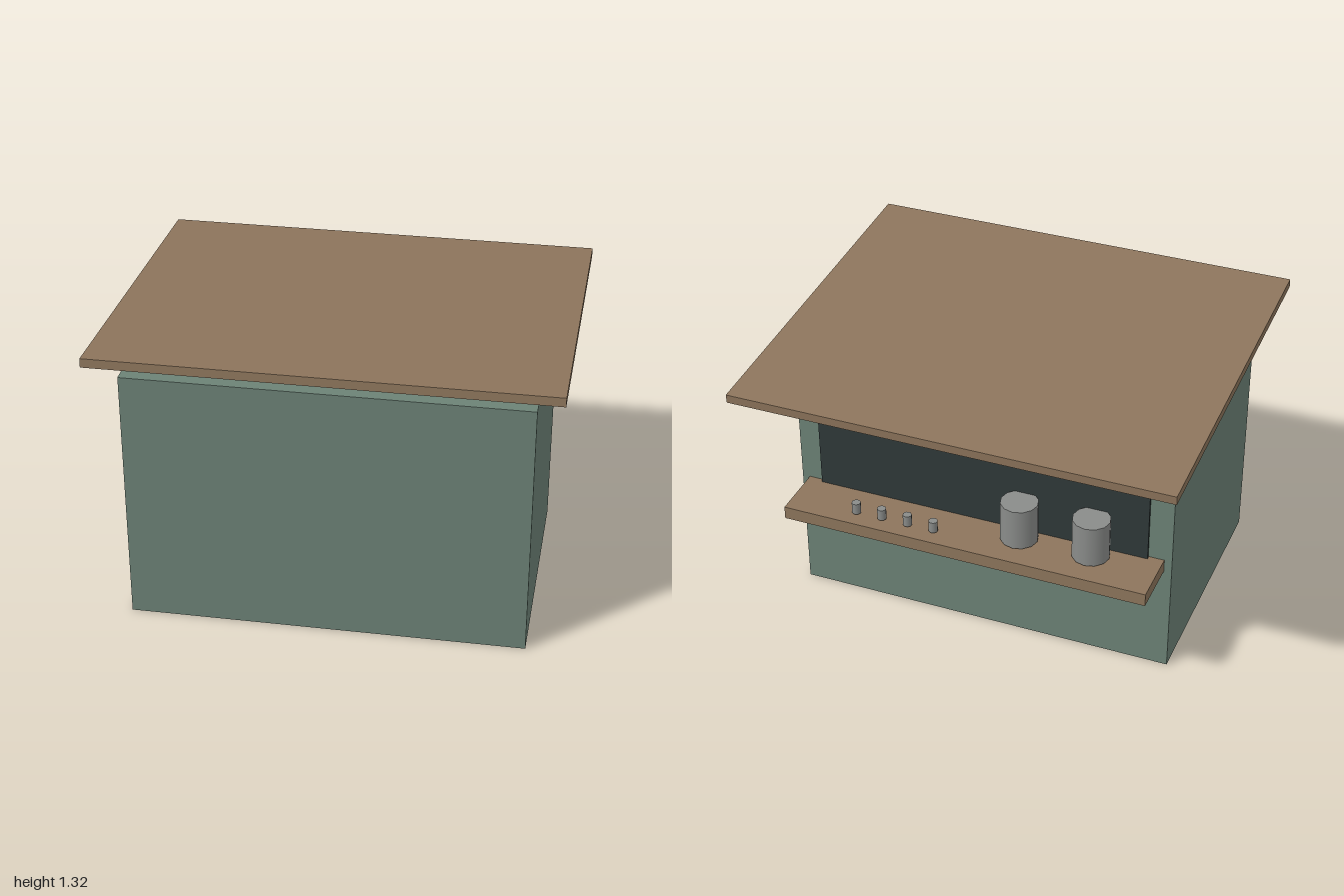
import * as THREE from 'three';

export function createModel() {
  const model = new THREE.Group();
  model.name = 'kiosk';

  const material = (name, color) => {
    const m = new THREE.MeshStandardMaterial({ color });
    m.name = name;
    return m;
  };
  const green = material('sage green paint', 0x6c8276);
  const wood = material('brown wood', 0x8d755c);
  const dark = material('dark opening', 0x2f3839);
  const ochre = material('ochre board', 0xb59e65);
  const metal = material('grey metal', 0x8a8c8a);

  const add = (name, geometry, mat, x, y, z) => {
    const mesh = new THREE.Mesh(geometry, mat);
    mesh.name = name;
    mesh.position.set(x, y, z);
    model.add(mesh);
    return mesh;
  };
  const box = (name, mat, w, h, d, x, y, z) =>
    add(name, new THREE.BoxGeometry(w, h, d), mat, x, y, z);
  // Upright cylinder given by its base height
  const can = (name, r, h, x, base, z) =>
    add(name, new THREE.CylinderGeometry(r, r, h, 12), metal, x, base + h / 2, z);

  // Hut body
  box('body', green, 1.76, 1.18, 1.14, 0, 0.59, 0.14);

  // Roof slab, sloping down towards the serving side
  const roof = box('roof', wood, 2, 0.04, 1.66, 0, 1.25, 0);
  roof.rotation.x = -0.06;

  // Serving side: opening, counter and board above
  box('servingOpening', dark, 1.55, 0.425, 0.01, 0, 0.787, -0.443);
  box('counter', wood, 1.69, 0.06, 0.255, 0, 0.545, -0.557);
  box('fasciaBoard', ochre, 1.66, 0.175, 0.012, 0, 1.102, -0.47);

  // Two urns and a row of cups on the counter
  for (const x of [-0.21, -0.54]) can('urn', 0.084, 0.193, x, 0.58, -0.514);
  for (let i = 0; i < 4; i++) can('cup', 0.02, 0.053, 0.525 - i * 0.123, 0.584, -0.61);

  return model;
}
